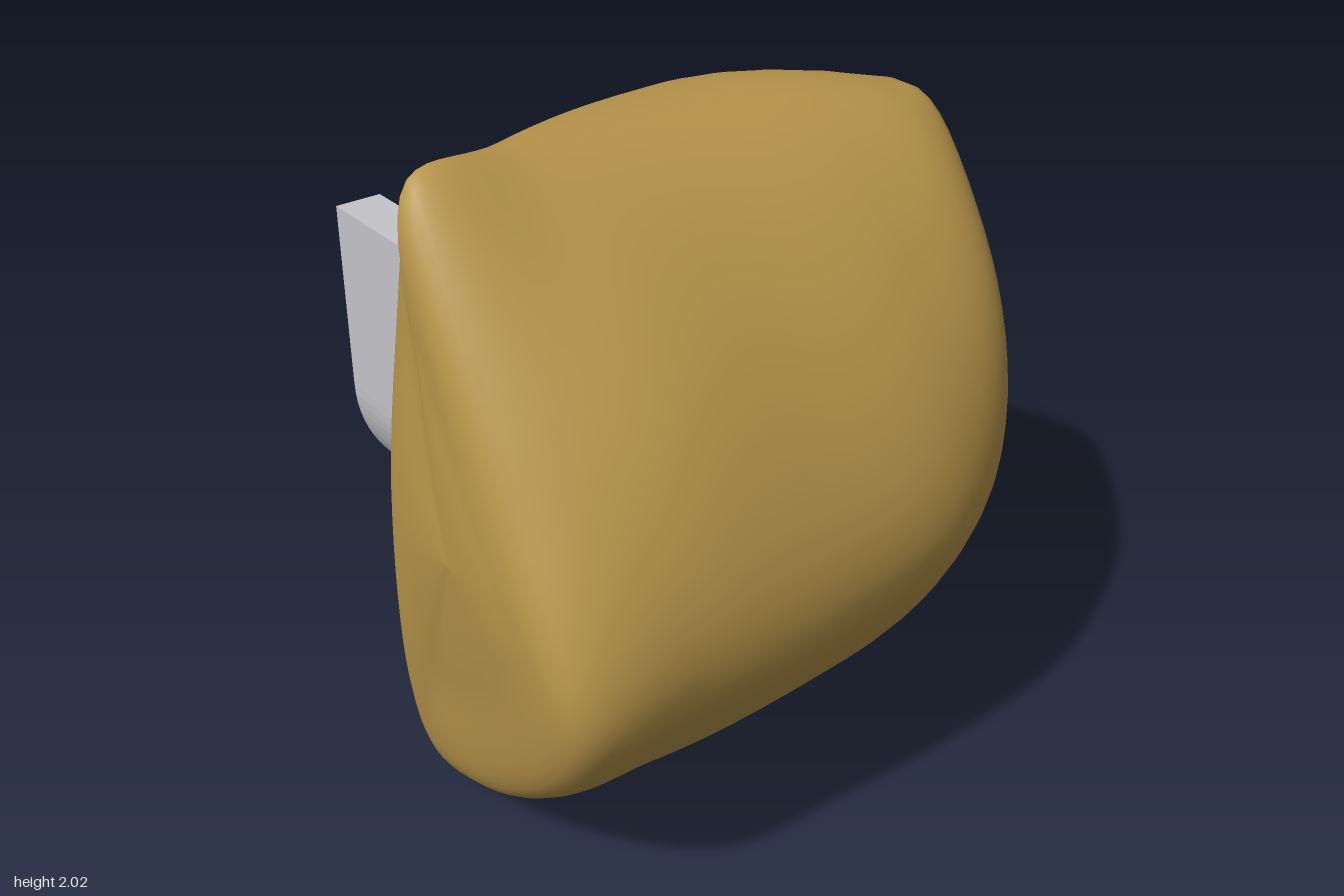
import * as THREE from 'three';

const stone = new THREE.MeshStandardMaterial({ color: 0xb8954a });
stone.name = 'ochre stone';
const metal = new THREE.MeshStandardMaterial({ color: 0xc5c4c9 });
metal.name = 'pale grey';

const v = (x, y, z) => new THREE.Vector3(x, y, z);

// Each ring runs clockwise seen from the front: ridge, upper right, right,
// lower right, bottom, lower left, left, upper left crease.
const RINGS = [
  [[.1, 2, .83], [.5, 1.38, .87], [.75, .82, .85], [.32, .3, .77],
    [-.18, .08, .71], [-.21, .35, .765], [-.08, 1.1, .85], [.06, 1.92, .82]],
  [[.11, 1.972, .5], [.62, 1.46, .55], [.8, .85, .5], [.45, .34, .5],
    [-.16, .045, .5], [-.31, .28, .5], [-.36, .85, .5], [-.09, 1.93, .5]],
  [[.1, 1.95, .05], [.63, 1.46, .05], [.82, .88, .05], [.45, .33, .05],
    [-.22, .003, .1], [-.52, .28, .05], [-.59, .95, .05], [-.35, 1.84, .05]],
  [[.1, 1.93, -.4], [.62, 1.46, -.35], [.78, .92, -.38], [.42, .36, -.36],
    [-.22, .08, -.4], [-.57, .35, -.4], [-.74, 1.05, -.4], [-.61, 1.69, -.4]],
  [[.1, 1.89, -.68], [.52, 1.5, -.68], [.62, .95, -.67], [.3, .46, -.64],
    [-.2, .29, -.67], [-.5, .55, -.68], [-.76, 1.15, -.68], [-.77, 1.51, -.68]],
  [[.08, 1.84, -.82], [.32, 1.5, -.82], [.4, 1.05, -.8], [.15, .7, -.79],
    [-.2, .62, -.81], [-.45, .8, -.83], [-.66, 1.2, -.83], [-.7, 1.43, -.83]],
].map((ring) => ring.map((p) => v(...p)));

// Ring halfway between a rim and the centre of its bulging cap
const capRing = (rim, centre, bulge) =>
  rim.map((p) => p.clone().lerp(centre, 0.5).add(v(0, 0, bulge)));

function boulderGeometry() {
  const front = v(.28, 1.08, .908), back = v(-.2, 1.35, -.908);
  const rings = [
    RINGS[0].map(() => front),
    capRing(RINGS[0], front, .02),
    ...RINGS,
    capRing(RINGS[5], back, -.025),
    RINGS[5].map(() => back),
  ];
  const rows = (rings.length - 1) * 8, cols = 8 * 8;
  // Smooth curves from front to back, then smooth loops around them
  const tracks = rings[0].map((_, k) =>
    new THREE.CatmullRomCurve3(rings.map((r) => r[k]), false, 'centripetal'));
  const positions = [], index = [];
  for (let i = 0; i <= rows; i++) {
    const loop = new THREE.CatmullRomCurve3(
      tracks.map((t) => t.getPoint(i / rows)), true, 'centripetal');
    for (let j = 0; j < cols; j++) {
      const p = loop.getPoint(j / cols);
      positions.push(p.x, p.y, p.z);
      if (i === rows) continue;
      const a = i * cols + j, b = i * cols + (j + 1) % cols;
      if (i > 0) index.push(a, b, a + cols);
      else index.push(a, b + cols, a + cols);
      if (i > 0 && i < rows - 1) index.push(b, b + cols, a + cols);
    }
  }
  const geometry = new THREE.BufferGeometry();
  geometry.setAttribute('position', new THREE.Float32BufferAttribute(positions, 3));
  geometry.setIndex(index);
  geometry.computeVertexNormals();
  return geometry;
}

// U-shaped bracket profile, extruded sideways into the boulder
function bracketGeometry() {
  const c = -.13, axis = .98, top = 1.55, outer = .42, inner = .28;
  const s = new THREE.Shape();
  s.moveTo(c - outer, top);
  s.lineTo(c - outer, axis);
  s.absarc(c, axis, outer, Math.PI, 2 * Math.PI, false);
  s.lineTo(c + outer, top);
  s.lineTo(c + inner, top);
  s.lineTo(c + inner, axis);
  s.absarc(c, axis, inner, 2 * Math.PI, Math.PI, true);
  s.lineTo(c - inner, top);
  s.closePath();
  const g = new THREE.ExtrudeGeometry(s, { depth: .495, bevelEnabled: false, curveSegments: 20 });
  return g.rotateY(Math.PI / 2).translate(-.825, 0, 0);
}

export function createModel() {
  const group = new THREE.Group();
  group.name = 'boulderWithBracket';
  const boulder = new THREE.Mesh(boulderGeometry(), stone);
  boulder.name = 'boulder';
  const bracket = new THREE.Mesh(bracketGeometry(), metal);
  bracket.name = 'bracket';
  group.add(boulder, bracket);
  return group;
}
